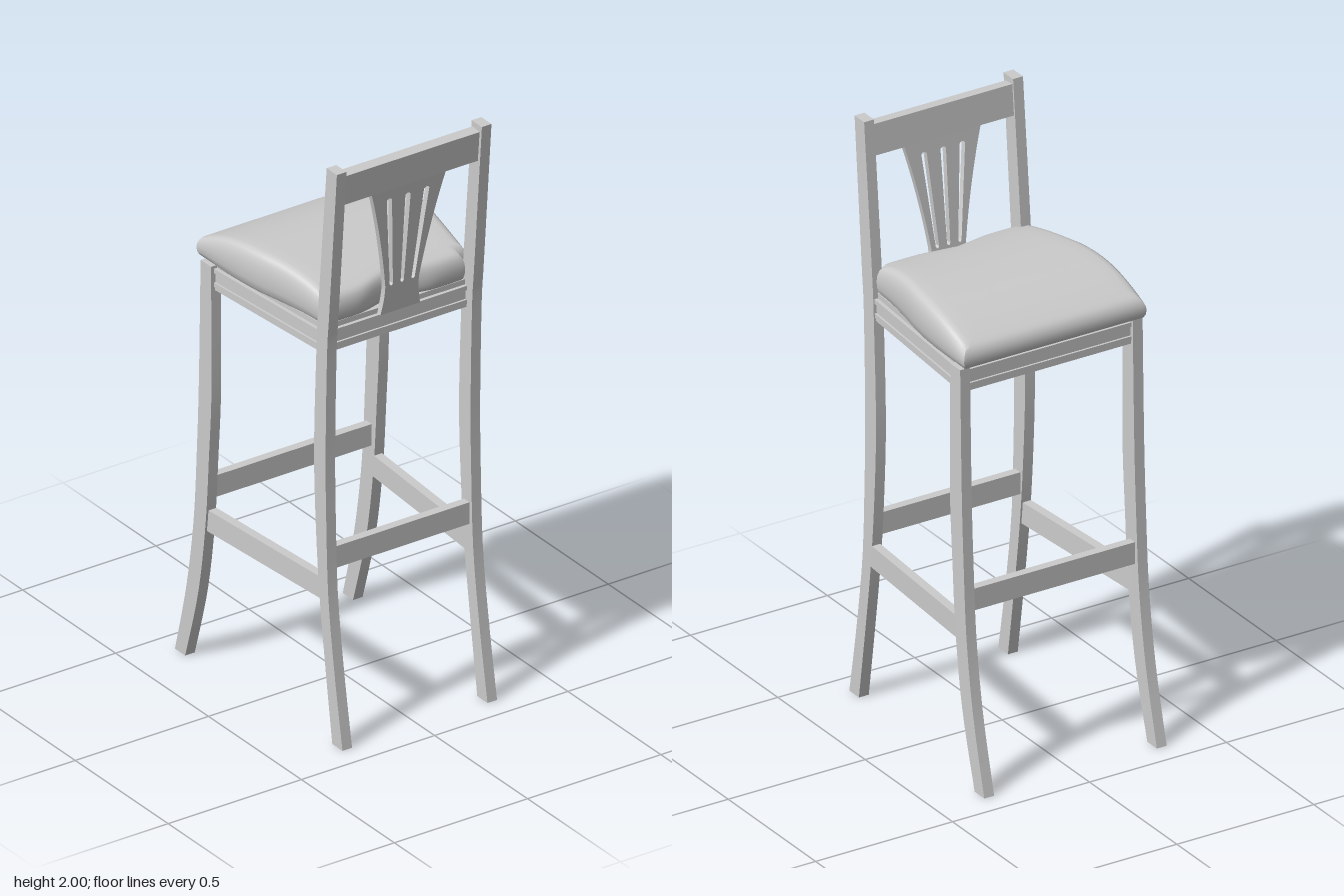
import * as THREE from 'three';
import { toCreasedNormals } from 'three/addons/utils/BufferGeometryUtils.js';

const material = new THREE.MeshStandardMaterial({ color: 0xcccccc, side: THREE.DoubleSide });

function add(group, name, geometry) {
  const mesh = new THREE.Mesh(geometry, material);
  mesh.name = name;
  group.add(mesh);
  return mesh;
}

// Curved leg cut from a board: rows are [y, inner z, outer z], from x0 to x0 + width
function legGeometry(rows, x0, width) {
  const edge = (k) => new THREE.SplineCurve(rows.map((r) => new THREE.Vector2(r[k], r[0]))).getPoints(24);
  const shape = new THREE.Shape([...edge(1), ...edge(2).reverse()]);
  const geo = new THREE.ExtrudeGeometry(shape, { depth: width, bevelEnabled: false });
  geo.rotateY(-Math.PI / 2).translate(x0 + width, 0, 0);
  return toCreasedNormals(geo, 0.5);
}

// Straight bar between two plan points [x, z]
function bar(group, name, a, b, y, height, thickness) {
  const dx = b[0] - a[0], dz = b[1] - a[1];
  const mesh = add(group, name, new THREE.BoxGeometry(Math.hypot(dx, dz), height, thickness));
  mesh.position.set((a[0] + b[0]) / 2, y, (a[1] + b[1]) / 2);
  mesh.rotation.y = -Math.atan2(dz, dx);
}

// Padded cushion: plan outline stacked in rings under a crowned top
function cushionGeometry() {
  const v = (p) => new THREE.Vector2(p[0], p[1]);
  const side = new THREE.SplineCurve([[0.333, -0.305], [0.335, -0.2], [0.332, -0.1], [0.322, 0],
    [0.303, 0.1], [0.288, 0.2], [0.281, 0.278]].map(v)).getPoints(20);
  const back = new THREE.SplineCurve([[0.25, 0.306], [0.14, 0.306], [0.06, 0.287], [0, 0.272]].map(v)).getPoints(14);
  const front = [0.06, 0.12, 0.18, 0.24, 0.29, 0.32].map((x) => v([x, -0.305]));
  const half = [...front, ...side, v([0.256, 0.282]), ...back];
  const mirrored = half.slice(0, -1).reverse().map((p) => v([-p.x, p.y]));
  const outline = [v([0, -0.305]), ...half, ...mirrored];

  const crown = new THREE.SplineCurve([[-0.31, 1.488], [-0.2, 1.532], [-0.1, 1.554], [0, 1.561],
    [0.1, 1.557], [0.2, 1.543], [0.31, 1.515]].map(v)).getPoints(60);
  const topAt = (z) => {
    const i = Math.max(1, crown.findIndex((p) => p.x >= z));
    const a = crown[i - 1], b = crown[i];
    return a.y + (b.y - a.y) * (z - a.x) / (b.x - a.x);
  };
  // [plan scale, height fraction]
  const rings = [[0, 0], [0.955, 0], [0.98, 0.08], [0.995, 0.25], [1, 0.48], [0.994, 0.68], [0.978, 0.84],
    [0.955, 0.94], [0.925, 0.985], [0.88, 1], [0.75, 1], [0.6, 1], [0.45, 1], [0.3, 1], [0.15, 1], [0, 1]];
  const pos = [], idx = [], n = outline.length;
  rings.forEach(([s, h], i) => {
    outline.forEach((p, j) => {
      const z = p.y * s;
      pos.push(p.x * s, 1.425 + (topAt(z) - 1.425) * h, z);
      if (i === rings.length - 1) return;
      const a = i * n + j, b = i * n + (j + 1) % n;
      if (s > 0) idx.push(a, a + n, b);
      if (rings[i + 1][0] > 0) idx.push(b, a + n, b + n);
    });
  });
  const geo = new THREE.BufferGeometry();
  geo.setAttribute('position', new THREE.Float32BufferAttribute(pos, 3));
  geo.setIndex(idx);
  return toCreasedNormals(geo, 0.8);
}

// Fan-shaped back panel with three tapered slots, leaning with the posts
function splatGeometry() {
  const shape = new THREE.Shape();
  shape.moveTo(-0.075, 1.41);
  shape.lineTo(0.075, 1.41);
  shape.quadraticCurveTo(0.062, 1.46, 0.063, 1.51);
  shape.quadraticCurveTo(0.09, 1.7, 0.143, 1.885);
  shape.lineTo(-0.143, 1.885);
  shape.quadraticCurveTo(-0.09, 1.7, -0.063, 1.51);
  shape.quadraticCurveTo(-0.062, 1.46, -0.075, 1.41);
  for (const s of [-1, 0, 1]) {
    const bottom = s * 0.041, top = s * 0.07;
    const slot = new THREE.Path();
    slot.moveTo(bottom - 0.006, 1.515);
    slot.quadraticCurveTo(bottom, 1.503, bottom + 0.006, 1.515);
    slot.lineTo(top + 0.01, 1.83);
    slot.quadraticCurveTo(top, 1.842, top - 0.01, 1.83);
    shape.holes.push(slot);
  }
  const geo = new THREE.ExtrudeGeometry(shape, { depth: 0.02, bevelEnabled: false, curveSegments: 8 });
  const p = geo.attributes.position;
  for (let i = 0; i < p.count; i++) p.setZ(i, p.getZ(i) + 0.295 + (p.getY(i) - 1.41) * 0.1);
  return toCreasedNormals(geo, 0.5);
}

export function createModel() {
  const stool = new THREE.Group();
  stool.name = 'barStool';

  // Legs: the pair at +z continues upward as the backrest posts
  const postRows = [[0, 0.365, 0.42], [0.25, 0.328, 0.377], [0.5, 0.295, 0.344], [0.75, 0.275, 0.333],
    [1, 0.267, 0.329], [1.35, 0.28, 0.337], [1.5, 0.29, 0.349], [2, 0.335, 0.39]];
  const legRows = [[0, -0.365, -0.42], [0.25, -0.295, -0.358], [0.5, -0.256, -0.319],
    [0.75, -0.237, -0.302], [1, -0.223, -0.291], [1.42, -0.226, -0.282]];
  for (const [label, s] of [['left', 1], ['right', -1]]) {
    add(stool, label + 'BackPost', legGeometry(postRows, s > 0 ? 0.254 : -0.29, 0.036));
    add(stool, label + 'SeatLeg', legGeometry(legRows, s > 0 ? 0.297 : -0.333, 0.036));
    bar(stool, label + 'Stretcher', [s * 0.312, -0.275], [s * 0.274, 0.31], 0.518, 0.075, 0.03);
  }

  // Cross stretchers
  bar(stool, 'openSideStretcher', [-0.3, -0.28], [0.3, -0.28], 0.622, 0.075, 0.03);
  bar(stool, 'backSideStretcher', [-0.257, 0.309], [0.257, 0.309], 0.622, 0.075, 0.03);

  // Moulded seat frame: stacked trapezoid layers [bottom, top, inset]
  const layers = [[1.335, 1.347, 0.004], [1.347, 1.362, 0], [1.362, 1.395, 0.007],
    [1.395, 1.41, 0], [1.41, 1.428, 0.012]];
  const frame = new THREE.Group();
  frame.name = 'seatFrame';
  stool.add(frame);
  for (const [y0, y1, d] of layers) {
    const shape = new THREE.Shape([[-0.326, 0.275], [0.326, 0.275], [0.284, -0.31], [-0.284, -0.31]]
      .map(([x, y]) => new THREE.Vector2(x - Math.sign(x) * d, y - Math.sign(y) * d)));
    const geo = new THREE.ExtrudeGeometry(shape, { depth: y1 - y0, bevelEnabled: false });
    add(frame, 'frameLayer', geo.rotateX(-Math.PI / 2).translate(0, y0, 0));
  }

  add(stool, 'cushion', cushionGeometry());

  // Backrest
  add(stool, 'backSplat', splatGeometry());
  const rail = add(stool, 'topRail', new THREE.BoxGeometry(0.514, 0.105, 0.038));
  rail.position.set(0, 1.927, 0.354);
  rail.rotation.x = 0.09;

  return stool;
}
